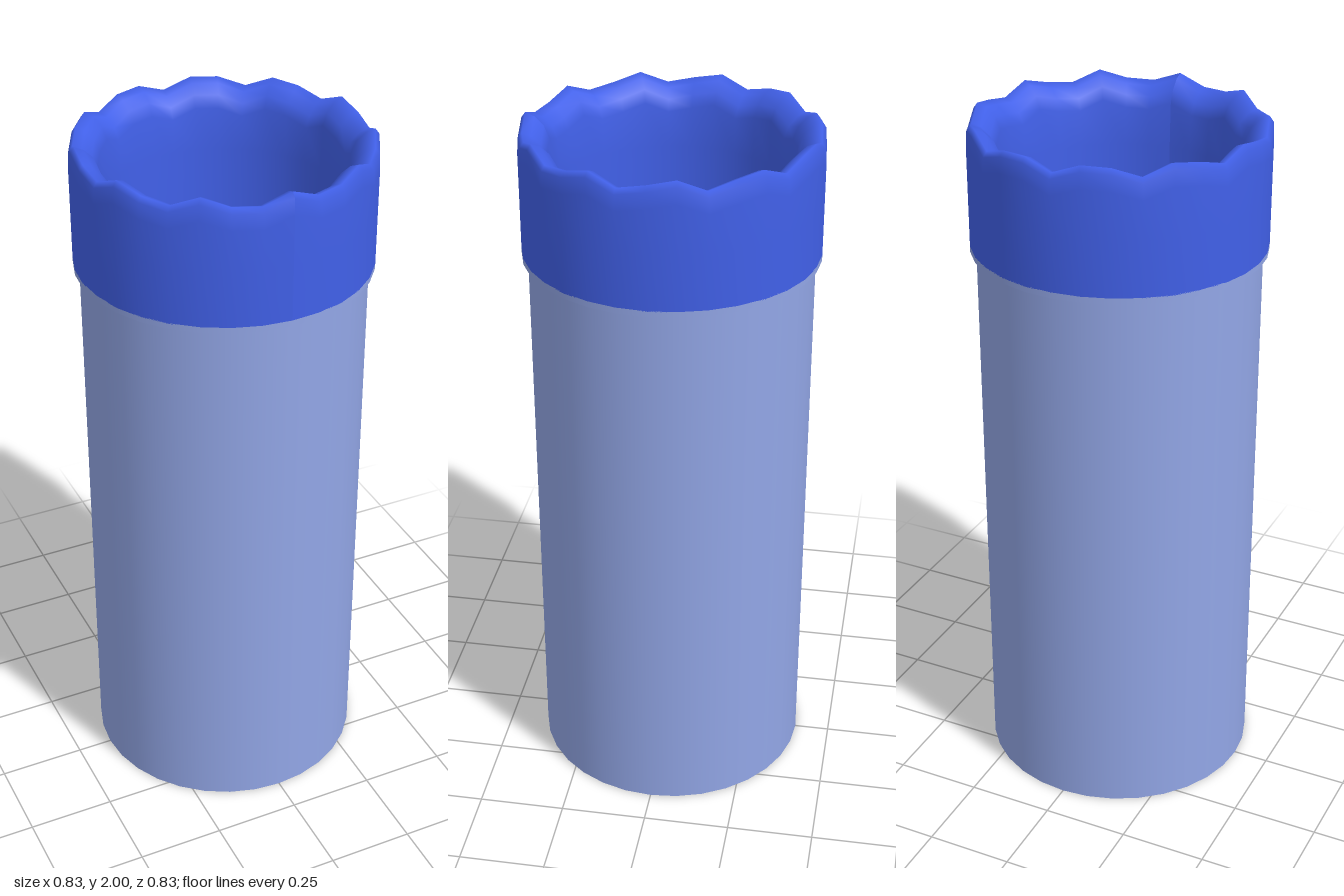
import * as THREE from 'three';

const SEGMENTS = 32;
const pipeMat = new THREE.MeshStandardMaterial({ color: 0x92a6e6, side: THREE.DoubleSide });
const blueMat = new THREE.MeshStandardMaterial({ color: 0x4160e8, side: THREE.DoubleSide });

function lathe(name, profile, material) {
  const points = profile.map(([r, y]) => new THREE.Vector2(r, y));
  const mesh = new THREE.Mesh(new THREE.LatheGeometry(points, SEGMENTS), material);
  mesh.name = name;
  return mesh;
}

// Tapered rod between two points
function rod(from, to, r0, r1) {
  const dir = to.clone().sub(from);
  const mesh = new THREE.Mesh(new THREE.CylinderGeometry(r1, r0, dir.length(), 8), blueMat);
  mesh.position.copy(from).add(to).multiplyScalar(0.5);
  mesh.quaternion.setFromUnitVectors(new THREE.Vector3(0, 1, 0), dir.normalize());
  mesh.name = 'tooth';
  return mesh;
}

export function createModel() {
  const model = new THREE.Group();
  model.name = 'toothedTube';

  // Outer pipe with bevelled foot and a thin flange under the collar
  model.add(lathe('footBevel', [[0.362, 0.04], [0.39, 0.04], [0.39, 0]], pipeMat));
  model.add(lathe('footEdge', [[0.39, 0], [0.397, 0]], pipeMat));
  model.add(lathe('pipe', [[0.397, 0], [0.397, 1.63]], pipeMat));
  model.add(lathe('flangeBottom', [[0.397, 1.625], [0.414, 1.625]], pipeMat));
  model.add(lathe('flangeSide', [[0.414, 1.625], [0.414, 1.642]], pipeMat));

  // Collar: straight wall, wavy crest, lip sloping in to the throat
  const collar = lathe('collar', [
    [0.414, 1.64], [0.414, 1.8], [0.414, 1.94], [0.411, 1.985], [0.4, 2],
    [0.375, 1.99], [0.35, 1.965], [0.336, 1.93], [0.332, 1.8], [0.332, 1.6],
  ], blueMat);
  const pos = collar.geometry.attributes.position;
  for (let i = 0; i < pos.count; i++) {
    const y = pos.getY(i);
    const angle = Math.atan2(pos.getX(i), pos.getZ(i));
    const weight = THREE.MathUtils.smoothstep(y, 1.8, 1.96);
    pos.setY(i, y - weight * 0.018 * (1 - Math.cos(11 * angle)));
  }
  collar.geometry.computeVertexNormals();
  model.add(collar);

  // Throat: ledge, long inner wall and rounded floor
  model.add(lathe('throatLedge', [[0.332, 1.6], [0.319, 1.6]], blueMat));
  model.add(lathe('throat', [
    [0.319, 1.6], [0.319, 0.3], [0.305, 0.2], [0.26, 0.13], [0.18, 0.1], [0, 0.09],
  ], blueMat));
  // Underside of the throat, recessed in the pipe foot
  model.add(lathe('underside', [[0, 0.05], [0.3, 0.05], [0.345, 0.046], [0.364, 0.038]], blueMat));

  // Teeth: [root angle, tip angle] in degrees, from +x towards +z
  const teeth = new THREE.Group();
  teeth.name = 'teeth';
  const angles = [
    [251, 252], [263, 264], [284, 290], [314, 304], [338, 338], [350, 350], [1, 8],
    [13, 19], [35, 46], [45, 57], [75, 78], [86, 88], [116, 116], [138, 139],
    [160, 158], [172, 168], [175, 180], [188, 193], [209, 219], [221, 231],
  ];
  const rad = Math.PI / 180;
  for (const [root, tip] of angles) {
    const a = root * rad, b = tip * rad;
    const from = new THREE.Vector3(0.315 * Math.cos(a), 1.45, 0.315 * Math.sin(a));
    const to = new THREE.Vector3(0.138 * Math.cos(b), 1.4, 0.16 * Math.sin(b));
    teeth.add(rod(from, to, 0.015, 0.006));
  }
  model.add(teeth);
  return model;
}
